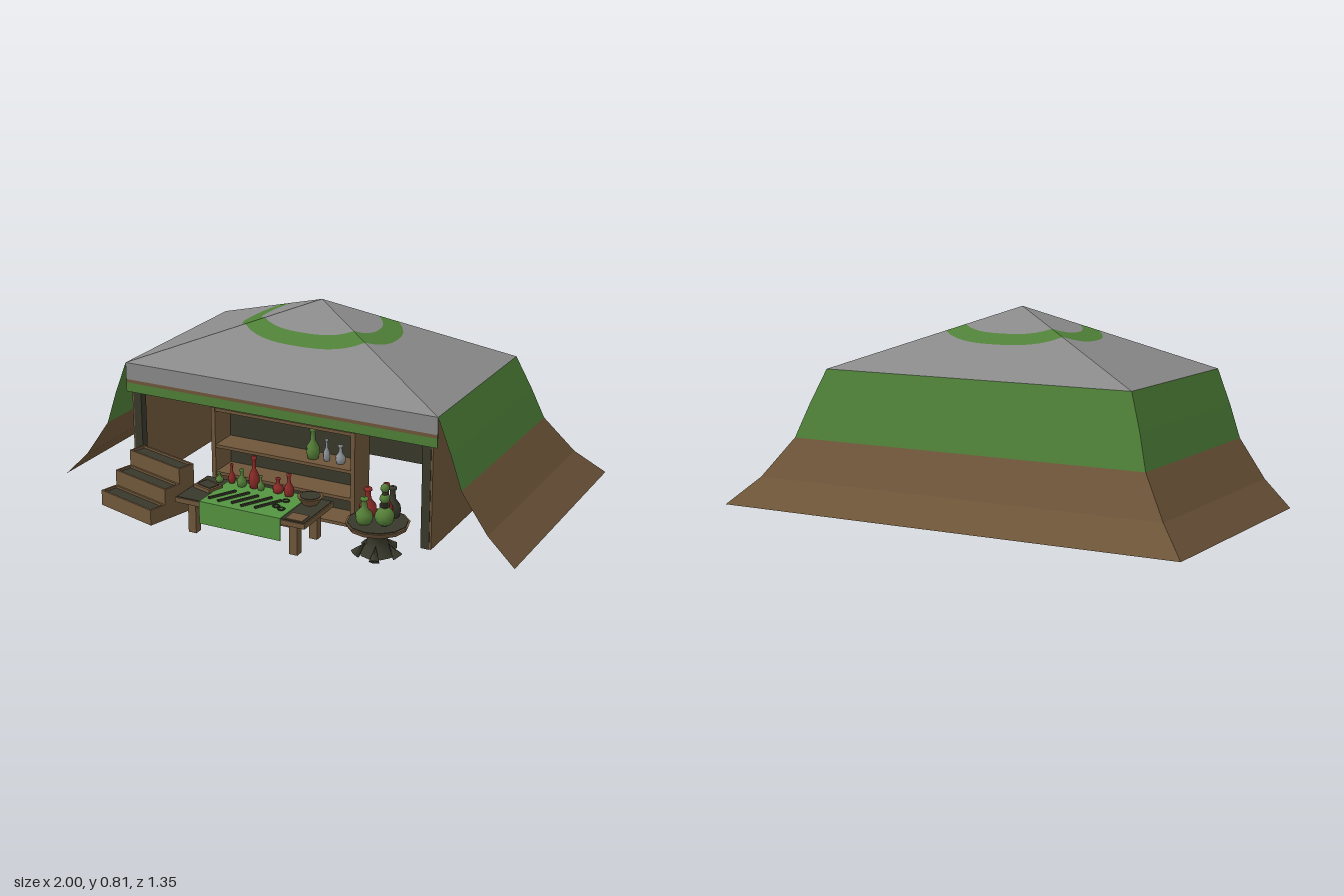
import * as THREE from 'three';

const mat = (name, color, opts = {}) => {
  const m = new THREE.MeshStandardMaterial({ color, ...opts });
  m.name = name;
  return m;
};

export function createModel() {
  const D = { side: THREE.DoubleSide };
  const gray = mat('grayCanvas', 0x8a8a8a, D), green = mat('greenCanvas', 0x4f8038, D);
  const brown = mat('brownWood', 0x6f563a, D), dark = mat('darkWood', 0x38382b, D);
  const cloth = mat('greenCloth', 0x549440, D), red = mat('redGlass', 0x8c2c28);
  const glass = mat('greenGlass', 0x557f38), pale = mat('paleGlass', 0x8e9499);

  const model = new THREE.Group();
  const group = (name, x = 0, y = 0, z = 0) => {
    const g = new THREE.Group();
    g.name = name;
    g.position.set(x, y, z);
    model.add(g);
    return g;
  };
  const add = (parent, name, geo, m, x = 0, y = 0, z = 0) => {
    const mesh = new THREE.Mesh(geo, m);
    mesh.name = name;
    mesh.position.set(x, y, z);
    parent.add(mesh);
    return mesh;
  };
  // Box given by its lowest y
  const box = (parent, name, w, h, d, m, x, y, z) =>
    add(parent, name, new THREE.BoxGeometry(w, h, d), m, x, y + h / 2, z);

  // Faces between an upper and a lower loop of points
  const strip = (a, b) => {
    const p = [];
    for (let i = 0; i < a.length - 1; i++)
      p.push(...a[i], ...a[i + 1], ...b[i], ...a[i + 1], ...b[i + 1], ...b[i]);
    const g = new THREE.BufferGeometry();
    g.setAttribute('position', new THREE.Float32BufferAttribute(p, 3));
    g.computeVertexNormals();
    return g;
  };

  // Roof: pyramid cut by a rounded ring
  const tent = group('tent');
  const W = 0.68, H = 0.395, CZ = -0.015, F = 0.38;
  const corner = Math.atan2(H, W), angles = [];
  for (let i = 0; i <= 48; i++) angles.push(i * Math.PI / 24);
  angles.push(corner, Math.PI - corner, Math.PI + corner, 2 * Math.PI - corner);
  angles.sort((a, b) => a - b);
  const loop = (radius) => angles.map((t) => {
    const c = Math.cos(t), s = Math.sin(t), r = radius(Math.abs(c), Math.abs(s));
    const x = r * c, z = r * s;
    return [x, 0.793 - 0.253 * Math.max(Math.abs(x) / W, Math.abs(z) / H), z + CZ];
  });
  const oval = (a, b) => loop((c, s) => Math.pow((c / a) ** 2.6 + (s / b) ** 2.6, -1 / 2.6));
  const rings = [loop(() => 0), oval(0.25, 0.153), oval(0.33, 0.212), loop((c, s) => 1 / Math.max(c / W, s / H))];
  ['roofCap', 'roofRing', 'roofSlope'].forEach((n, i) =>
    add(tent, n, strip(rings[i], rings[i + 1]), i === 1 ? green : gray));

  // Flared side and back walls, open at the front
  const walls = [[0.68, 0.54, -0.41], [0.735, 0.4, -0.453], [0.78, 0.265, -0.495], [0.89, 0.108, -0.578], [1, 0, -0.67]]
    .map(([w, y, b]) => [[-w, y, F], [-w, y, b], [w, y, b], [w, y, F]]);
  for (let i = 0; i < 4; i++)
    add(tent, i < 2 ? 'upperWall' : 'lowerWall', strip(walls[i], walls[i + 1]), i < 2 ? green : brown);

  // Front valance in three bands
  box(tent, 'valanceTop', 1.36, 0.07, 0.006, gray, 0, 0.47, F - 0.003);
  box(tent, 'valanceStripe', 1.36, 0.014, 0.006, brown, 0, 0.456, F - 0.003);
  box(tent, 'valanceHem', 1.36, 0.038, 0.006, green, 0, 0.418, F - 0.003);

  // Inner walls and corner posts
  box(tent, 'innerBackWall', 1.3, 0.53, 0.01, dark, 0, 0, -0.4);
  for (const s of [-1, 1]) {
    box(tent, 'innerSideWall', 0.01, 0.52, 0.77, brown, s * 0.655, 0, -0.015);
    for (const z of [-0.375, 0.355]) box(tent, 'cornerPost', 0.035, 0.5, 0.035, dark, s * 0.635, 0, z);
  }

  // Shelf unit
  const shelf = group('shelfUnit', 0, 0, 0.265);
  for (const s of [-1, 1]) box(shelf, 'shelfSide', 0.018, 0.395, 0.13, brown, s * 0.309, 0, 0);
  box(shelf, 'shelfBack', 0.6, 0.38, 0.01, dark, 0, 0.005, -0.06);
  for (const y of [0, 0.11, 0.225, 0.38]) box(shelf, 'shelfBoard', 0.6, 0.013, 0.125, brown, 0, y, 0);

  // Turned bottle with a narrow neck
  const bottle = (parent, m, x, y, z, r, h) => {
    const profile = [[0, 0], [0.8, 0], [1, 0.18], [0.95, 0.38], [0.38, 0.6], [0.32, 0.88], [0.5, 0.92], [0.45, 1], [0, 1]]
      .map(([a, b]) => new THREE.Vector2(a * r, b * h));
    return add(parent, 'bottle', new THREE.LatheGeometry(profile, 10), m, x, y, z);
  };
  const ball = (parent, m, x, y, z, r) => add(parent, 'globe', new THREE.SphereGeometry(r, 12, 8), m, x, y, z);
  bottle(shelf, glass, 0.11, 0.238, 0.01, 0.027, 0.125);
  bottle(shelf, pale, 0.17, 0.238, 0.01, 0.014, 0.09);
  bottle(shelf, pale, 0.23, 0.238, 0.01, 0.02, 0.075);

  // Long table with cloth
  const table = group('longTable', 0, 0, 0.55);
  box(table, 'tableTop', 0.56, 0.02, 0.24, brown, 0, 0.125, 0);
  box(table, 'tableSurface', 0.55, 0.004, 0.23, dark, 0, 0.144, 0);
  box(table, 'tableUnderside', 0.53, 0.004, 0.21, dark, 0, 0.122, 0);
  for (const x of [-0.22, 0.22]) {
    for (const z of [-0.08, 0.08]) box(table, 'tableLeg', 0.034, 0.122, 0.034, brown, x, 0, z);
    box(table, 'tableRail', 0.02, 0.022, 0.15, brown, x, 0.1, 0);
  }
  box(table, 'frontRail', 0.42, 0.018, 0.016, brown, 0, 0.104, 0.08);
  box(table, 'clothTop', 0.35, 0.005, 0.235, cloth, 0.005, 0.147, 0.005);
  box(table, 'clothDrop', 0.35, 0.092, 0.005, cloth, 0.005, 0.06, 0.123);

  // Wares on the table: colour, x, radius, height
  [[glass, -0.2, 0.016, 0.04], [red, -0.15, 0.014, 0.08], [glass, -0.1, 0.02, 0.07], [red, -0.05, 0.022, 0.13],
    [glass, -0.015, 0.014, 0.06], [red, 0.055, 0.022, 0.06], [red, 0.108, 0.02, 0.09]]
    .forEach(([m, x, r, h], i) => bottle(table, m, x, 0.151, i % 2 ? -0.09 : -0.08, r, h));
  add(table, 'bowl', new THREE.CylinderGeometry(0.05, 0.03, 0.03, 14), brown, 0.21, 0.163, -0.06);
  add(table, 'bowlHollow', new THREE.CylinderGeometry(0.04, 0.04, 0.003, 14), dark, 0.21, 0.179, -0.06);
  box(table, 'book', 0.09, 0.014, 0.07, brown, -0.21, 0.148, -0.01).rotation.y = -0.3;
  box(table, 'bookCover', 0.07, 0.003, 0.05, dark, -0.21, 0.162, -0.01).rotation.y = -0.3;
  box(table, 'scrap', 0.07, 0.004, 0.06, brown, 0.23, 0.147, 0.08);
  for (let i = 0; i < 5; i++)
    box(table, 'tool', 0.009, 0.008, 0.12 + (i % 2) * 0.02, dark, -0.12 + i * 0.05, 0.152, 0.035).rotation.y = -0.5;
  for (const [x, z] of [[0.125, -0.025], [0.115, 0.035], [0.145, 0.05]]) {
    const ring = add(table, 'ring', new THREE.TorusGeometry(0.013, 0.003, 6, 12), dark, x, 0.155, z);
    ring.rotation.x = Math.PI / 2;
  }

  // Round table on a flared pedestal
  const round = group('roundTable', 0.49, 0, 0.482);
  add(round, 'roundTop', new THREE.CylinderGeometry(0.123, 0.115, 0.018, 12), brown, 0, 0.117, 0);
  add(round, 'roundSurface', new THREE.CylinderGeometry(0.115, 0.115, 0.004, 12), dark, 0, 0.127, 0);
  const stem = [[0.07, 0], [0.045, 0.03], [0.036, 0.07], [0.06, 0.108]].map(([x, y]) => new THREE.Vector2(x, y));
  add(round, 'pedestal', new THREE.LatheGeometry(stem, 10), dark);
  for (let i = 0; i < 5; i++) {
    const foot = add(round, 'foot', new THREE.ConeGeometry(0.022, 0.06, 5), dark,
      0.065 * Math.cos(i * 1.257), 0.022, 0.065 * Math.sin(i * 1.257));
    foot.rotation.set(Math.sin(i * 1.257) * -0.7, 0, Math.cos(i * 1.257) * 0.7);
  }
  // Stacked globes and flasks
  [[0.168, 0.038], [0.24, 0.02], [0.281, 0.017]].forEach(([y, r]) => ball(round, glass, 0.042, y, 0.03, r));
  add(round, 'globeStem', new THREE.CylinderGeometry(0.01, 0.014, 0.13, 8), dark, 0.042, 0.22, 0.03);
  add(round, 'globeCollar', new THREE.CylinderGeometry(0.02, 0.02, 0.008, 10), dark, 0.042, 0.214, 0.03);
  bottle(round, red, 0.025, 0.129, -0.02, 0.026, 0.15);
  bottle(round, dark, 0.03, 0.129, -0.065, 0.032, 0.12);
  bottle(round, glass, -0.04, 0.129, 0.035, 0.034, 0.1);
  bottle(round, red, -0.058, 0.129, -0.035, 0.034, 0.11);

  // Stepped display crate with hollow tiers
  const crate = group('steppedCrate', -0.507, 0, 0.515);
  crate.rotation.y = -0.28;
  for (let i = 0; i < 3; i++) {
    const h = 0.064 * (i + 1), z = 0.077 * (1 - i);
    box(crate, 'crateTier', 0.295, h - 0.012, 0.077, brown, 0, 0, z);
    box(crate, 'crateHollow', 0.275, 0.004, 0.06, dark, 0, h - 0.013, z);
    for (const s of [-1, 1]) {
      box(crate, 'crateLip', 0.295, 0.012, 0.008, brown, 0, h - 0.012, z + s * 0.0345);
      box(crate, 'crateEnd', 0.008, 0.012, 0.077, brown, s * 0.1435, h - 0.012, z);
    }
  }
  box(crate, 'crateUnderside', 0.27, 0.003, 0.2, dark, 0, -0.001, 0);

  return model;
}
